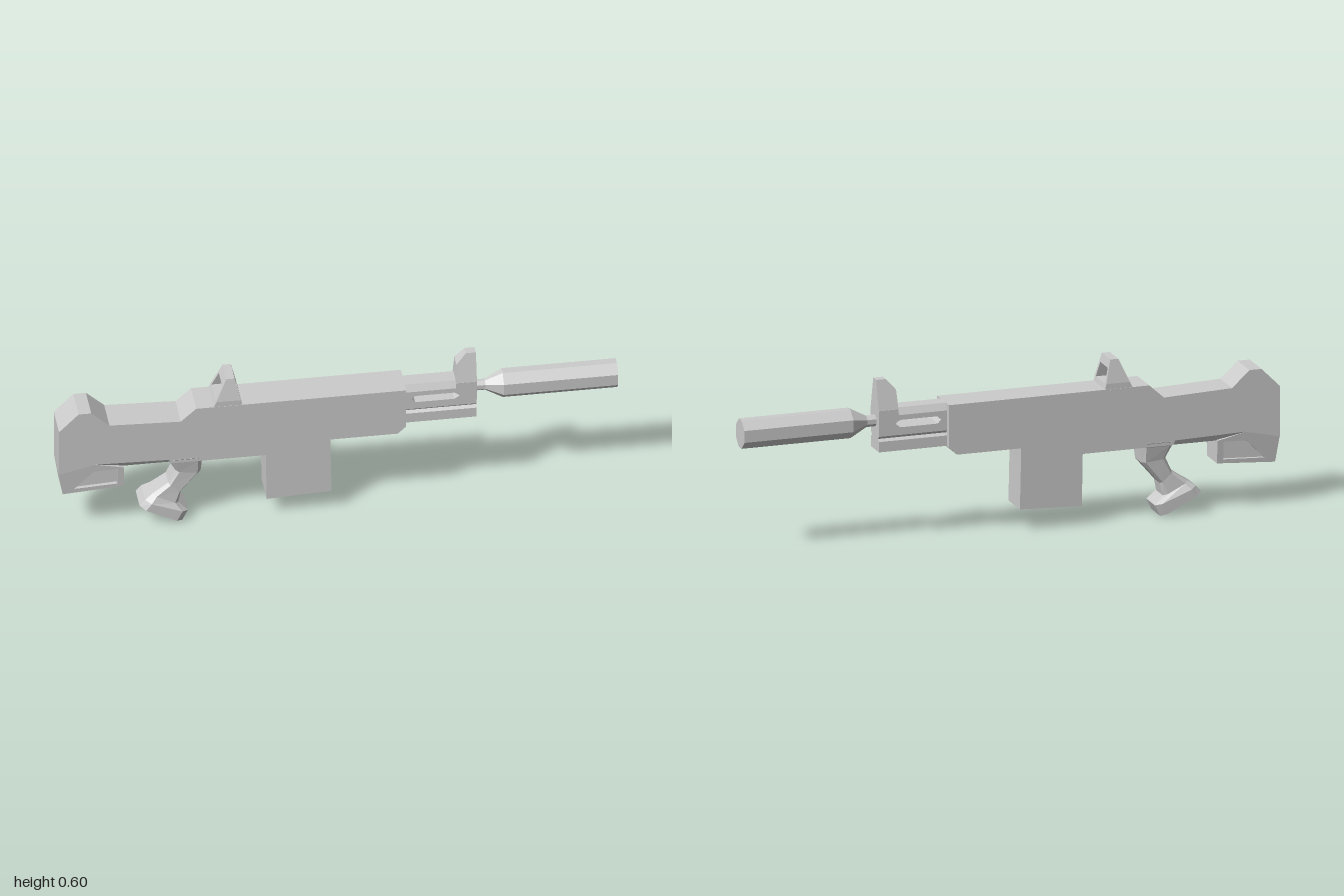
import * as THREE from 'three';

const material = new THREE.MeshStandardMaterial({ color: 0xcccccc, flatShading: true });

function add(group, name, geometry) {
  const mesh = new THREE.Mesh(geometry, material);
  mesh.name = name;
  group.add(mesh);
  return mesh;
}

const toPoints = (list) => list.map(([x, y]) => new THREE.Vector2(x, y));

// Side profile extruded across z; half is a width or a rule giving the half width at height y
function slab(profile, half, hole) {
  const shape = new THREE.Shape(toPoints(profile));
  if (hole) shape.holes.push(new THREE.Path(toPoints(hole)));
  const geo = new THREE.ExtrudeGeometry(shape, { depth: 2, bevelEnabled: false });
  const p = geo.attributes.position;
  for (let i = 0; i < p.count; i++) {
    const h = typeof half === 'number' ? half : half(p.getY(i));
    p.setZ(i, (p.getZ(i) - 1) * h);
  }
  geo.computeVertexNormals();
  return geo;
}

// Linear half width between two heights
const taper = (y0, h0, y1, h1) => (y) => THREE.MathUtils.mapLinear(y, y0, y1, h0, h1);

// Eight-sided ring: u is the half axis, half the z half width, (cu, cv) the corner cut
function octagon(center, u, half, cu, cv) {
  const corners = [[1, -cv], [1, cv], [cu, 1], [-cu, 1], [-1, cv], [-1, -cv], [-cu, -1], [cu, -1]];
  return corners.map(([a, b]) =>
    new THREE.Vector3(center[0] + u[0] * a, center[1] + u[1] * a, half * b));
}

// Skin a row of rings and close both ends
function loft(rings) {
  const pos = [];
  const tri = (...pts) => pts.forEach((p) => pos.push(p.x, p.y, p.z));
  const n = rings[0].length;
  for (let i = 0; i < rings.length - 1; i++) {
    for (let j = 0; j < n; j++) {
      const k = (j + 1) % n;
      const [a, b, c, d] = [rings[i][j], rings[i][k], rings[i + 1][k], rings[i + 1][j]];
      tri(a, b, c);
      tri(a, c, d);
    }
  }
  const first = rings[0], last = rings[rings.length - 1];
  for (let j = 1; j < n - 1; j++) {
    tri(first[0], first[j + 1], first[j]);
    tri(last[0], last[j], last[j + 1]);
  }
  const geo = new THREE.BufferGeometry();
  geo.setAttribute('position', new THREE.Float32BufferAttribute(pos, 3));
  geo.computeVertexNormals();
  return geo;
}

// Rear sight: an arch across z whose depth along x narrows upward
function rearSightGeometry() {
  const shape = new THREE.Shape(toPoints([
    [-0.062, 0.485], [0.062, 0.485], [0.062, 0.51], [0.045, 0.594], [-0.045, 0.594], [-0.062, 0.51]]));
  shape.holes.push(new THREE.Path(toPoints([
    [-0.05, 0.508], [0.05, 0.508], [0.039, 0.563], [-0.039, 0.563]])));
  const geo = new THREE.ExtrudeGeometry(shape, { depth: 1, bevelEnabled: false });
  geo.rotateY(Math.PI / 2);
  const p = geo.attributes.position;
  for (let i = 0; i < p.count; i++) {
    const t = (p.getY(i) - 0.49) / 0.104;
    const back = -0.447 + 0.047 * t;
    const front = -0.345 - 0.025 * t;
    p.setX(i, back + (front - back) * p.getX(i));
  }
  geo.computeVertexNormals();
  return geo;
}

export function createModel() {
  const model = new THREE.Group();
  model.name = 'lowPolyRifle';

  // Receiver and stock silhouette
  add(model, 'body', slab([
    [-1, 0.255], [-0.87, 0.285], [-0.607, 0.278], [-0.6, 0.262], [-0.26, 0.262], [-0.03, 0.262],
    [-0.03, 0.305], [0.21, 0.305], [0.24, 0.333], [0.24, 0.49], [-0.51, 0.49], [-0.565, 0.44],
    [-0.82, 0.45], [-0.885, 0.51], [-0.93, 0.51], [-1, 0.44]], 0.063));

  // Narrowed underside between stock and grip
  add(model, 'stockUnderside', slab([
    [-0.87, 0.258], [-0.6, 0.258], [-0.6, 0.287], [-0.87, 0.287]], taper(0.258, 0.046, 0.287, 0.063)));

  // Lower stock with a shallow panel on each side
  add(model, 'lowerStock', slab([
    [-1, 0.258], [-0.985, 0.16], [-0.767, 0.175], [-0.767, 0.26], [-0.87, 0.284]],
  taper(0.16, 0.051, 0.284, 0.062),
  [[-0.945, 0.18], [-0.79, 0.188], [-0.79, 0.255], [-0.875, 0.252]]));
  add(model, 'stockPanel', slab([
    [-0.95, 0.177], [-0.785, 0.183], [-0.785, 0.258], [-0.875, 0.256]], 0.04));

  // Magazine
  add(model, 'magazine', slab([
    [-0.258, 0.07], [-0.026, 0.08], [-0.031, 0.3], [-0.262, 0.3]], 0.0615));

  // Pistol grip: back point, front point and half width of each section, going down
  const sections = [
    [-0.61, 0.275, -0.483, 0.275, 0.064],
    [-0.605, 0.258, -0.485, 0.258, 0.056],
    [-0.58, 0.21, -0.49, 0.2, 0.047],
    [-0.605, 0.157, -0.56, 0.118, 0.045],
    [-0.662, 0.118, -0.57, 0.072, 0.05],
    [-0.69, 0.1, -0.537, 0.041, 0.065],
    [-0.71, 0.077, -0.557, 0.0, 0.065]];
  add(model, 'grip', loft(sections.map(([bx, by, fx, fy, h]) =>
    octagon([(bx + fx) / 2, (by + fy) / 2], [(fx - bx) / 2, (fy - by) / 2], h, 0.72, 0.7))));

  // Fore-end: lower rail, grooved core, slotted upper part and bevelled top
  const foreEnd = new THREE.Group();
  foreEnd.name = 'foreEnd';
  model.add(foreEnd);
  const bar = (y0, y1) => [[0.23, y0], [0.495, y0], [0.495, y1], [0.23, y1]];
  add(foreEnd, 'lowerRail', slab(bar(0.335, 0.373), 0.042));
  add(foreEnd, 'grooveLower', slab(bar(0.373, 0.382), taper(0.373, 0.042, 0.382, 0.032)));
  add(foreEnd, 'grooveUpper', slab(bar(0.382, 0.392), taper(0.382, 0.032, 0.392, 0.042)));
  add(foreEnd, 'slottedGuard', slab(bar(0.392, 0.465), 0.042, [
    [0.262, 0.434], [0.275, 0.42], [0.415, 0.42], [0.437, 0.434], [0.415, 0.447], [0.275, 0.447]]));
  add(foreEnd, 'bevelledTop', slab([[0.23, 0.465], [0.47, 0.465], [0.47, 0.49], [0.23, 0.49]],
    taper(0.465, 0.042, 0.49, 0.028)));

  // Front sight post and its clamp
  add(model, 'frontSightClamp', slab([
    [0.42, 0.455], [0.445, 0.41], [0.496, 0.41], [0.496, 0.487], [0.422, 0.487]], 0.043));
  add(model, 'frontSight', slab([
    [0.422, 0.487], [0.496, 0.487], [0.496, 0.595], [0.46, 0.595], [0.425, 0.555]],
  taper(0.487, 0.042, 0.595, 0.016)));

  add(model, 'rearSight', rearSightGeometry());

  // Thin barrel flaring into the muzzle tube: x, half height, half width
  const barrel = [[0.48, 0.02, 0.018], [0.53, 0.02, 0.018], [0.592, 0.052, 0.046], [1, 0.052, 0.046]];
  add(model, 'barrel', loft(barrel.map(([x, h, w]) => octagon([x, 0.442], [0, h], w, 0.42, 0.33))));

  return model;
}
